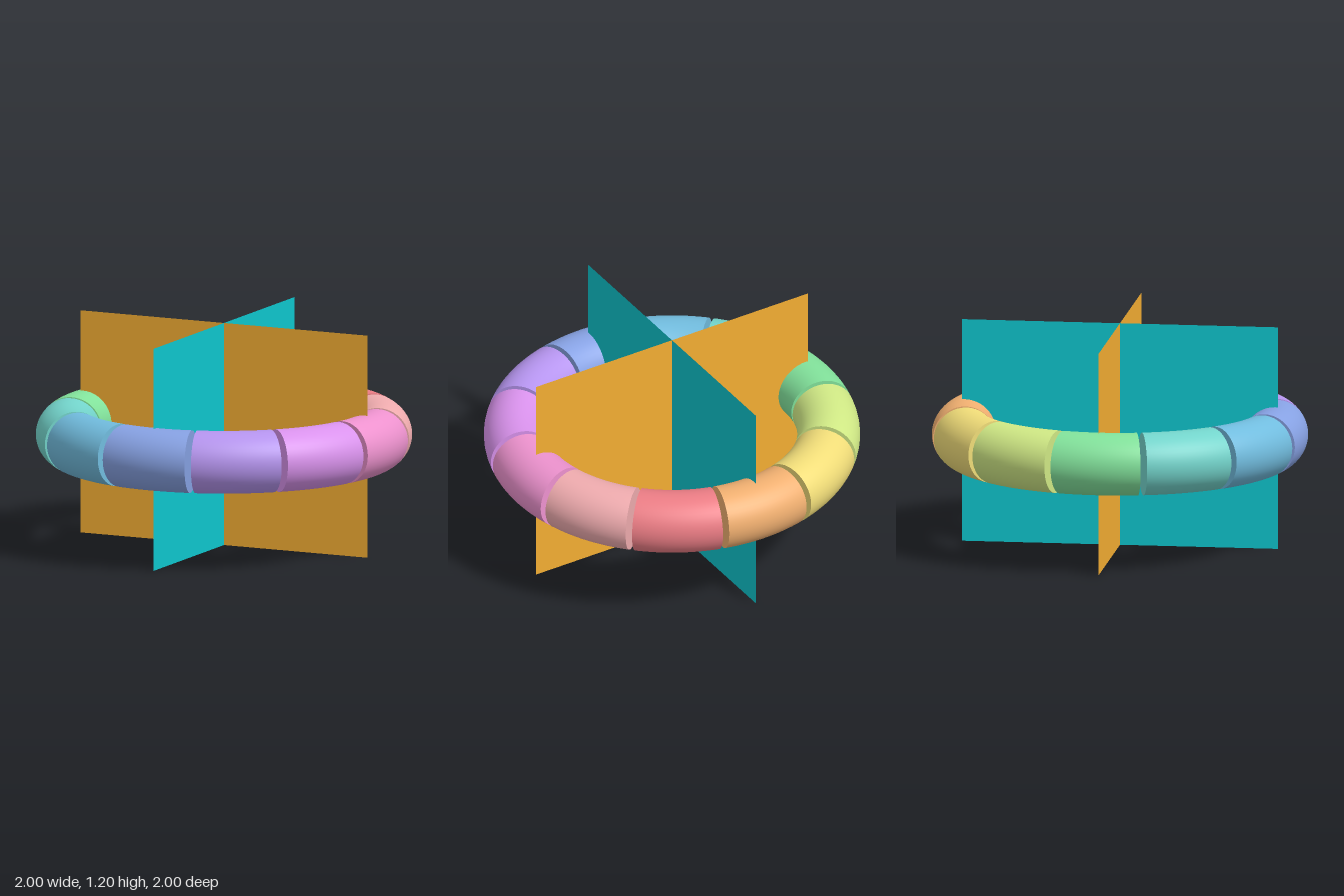
import * as THREE from 'three';
import { mergeGeometries } from 'three/addons/utils/BufferGeometryUtils.js';

const RING_RADIUS = 0.833, TUBE_RADIUS = 0.167, CENTER_Y = 0.6, SIDES = 48;

// Segment colours, starting at +x and running round through the back
const COLORS = [
  0xec7d85, 0xf0af70, 0xf0dc78, 0xd0e985, 0x82e29b, 0x73d4cb,
  0x71bcde, 0x87a2e4, 0xb594ee, 0xd992ec, 0xed92ce, 0xf0acaf,
];

// End cap of a segment: direction 1 faces along the ring, -1 faces back
function endCap(angle, direction) {
  return new THREE.CircleGeometry(TUBE_RADIUS, SIDES)
    .rotateX(-direction * Math.PI / 2)
    .translate(RING_RADIUS, 0, 0)
    .rotateZ(angle);
}

// Curved tube piece with flat closed ends
function segmentGeometry(arc) {
  const tube = new THREE.TorusGeometry(RING_RADIUS, TUBE_RADIUS, SIDES, 16, arc);
  return mergeGeometries([tube, endCap(0, -1), endCap(arc, 1)]).rotateX(-Math.PI / 2);
}

export function createModel() {
  const model = new THREE.Group();
  model.name = 'segmentedRingWithPanels';

  // Ring of twelve separated segments
  const ring = new THREE.Group();
  ring.name = 'ring';
  ring.position.y = CENTER_Y;
  const step = Math.PI * 2 / COLORS.length;
  const gap = THREE.MathUtils.degToRad(2);
  const geometry = segmentGeometry(step - gap);
  COLORS.forEach((color, i) => {
    const segment = new THREE.Mesh(geometry, new THREE.MeshStandardMaterial({ color }));
    segment.name = `ringSegment${i + 1}`;
    segment.rotation.y = i * step + gap / 2;
    ring.add(segment);
  });
  model.add(ring);

  // Two thin upright panels crossing on the axis, set on the diagonals
  const panelGeometry = new THREE.PlaneGeometry(1.2 * Math.SQRT2, 1.2);
  const panels = [['tealPanel', 0x0ec5cd, Math.PI / 4], ['orangePanel', 0xf4ae33, -Math.PI / 4]];
  for (const [name, color, angle] of panels) {
    const panel = new THREE.Mesh(panelGeometry,
      new THREE.MeshStandardMaterial({ color, side: THREE.DoubleSide }));
    panel.name = name;
    panel.position.y = CENTER_Y;
    panel.rotation.y = angle;
    model.add(panel);
  }
  return model;
}
